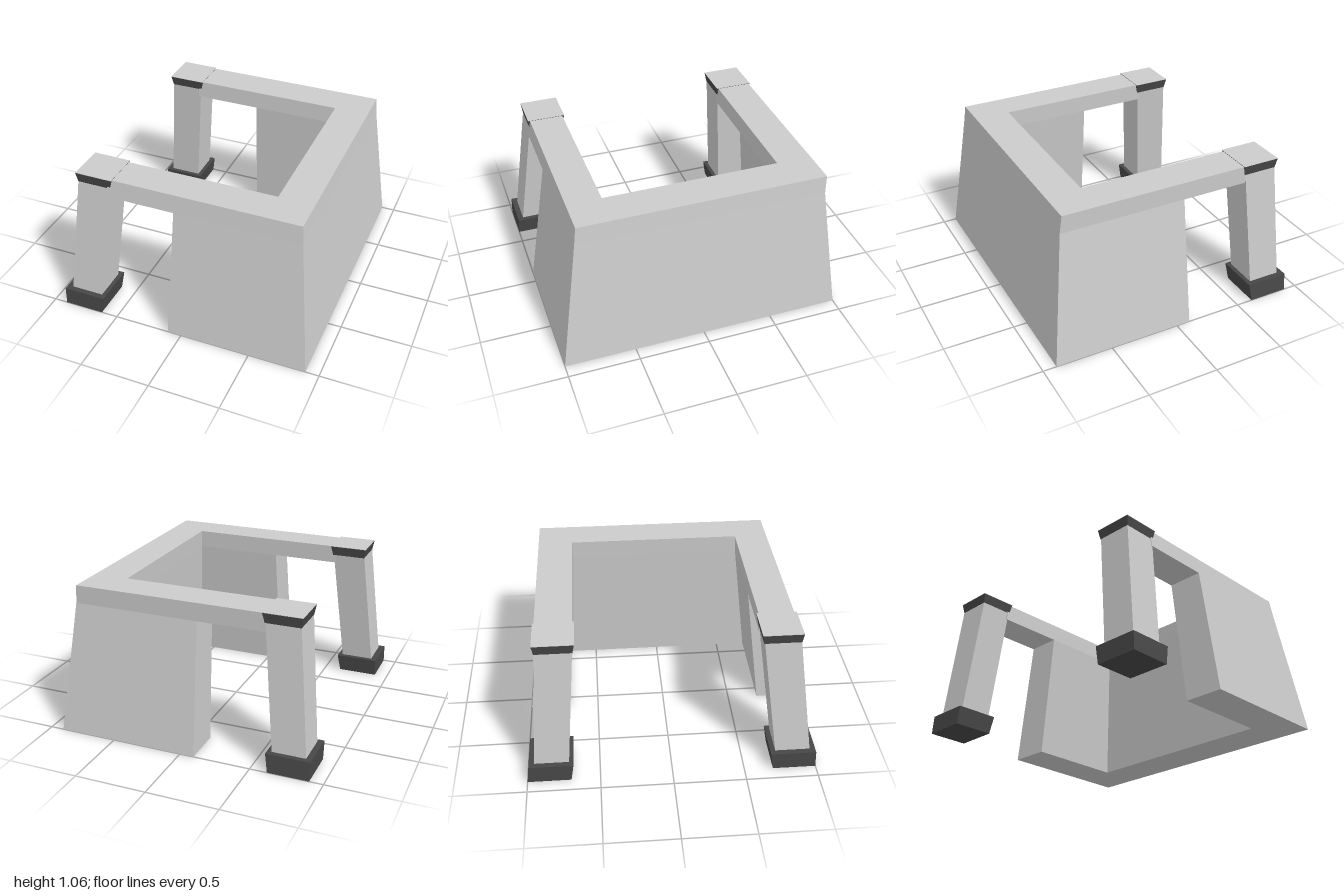
import * as THREE from 'three';

const grey = new THREE.MeshStandardMaterial({ color: 0xcccccc, flatShading: true });
const dark = new THREE.MeshStandardMaterial({ color: 0x474747, flatShading: true });

// Closed solid through stacked outlines; each level is { y, pts: [[x, z], ...] }
function loft(name, material, levels) {
  const pos = [];
  const put = (level, i) => pos.push(level.pts[i][0], level.y, level.pts[i][1]);
  const n = levels[0].pts.length;
  for (let k = 0; k < levels.length - 1; k++) {
    const lo = levels[k], hi = levels[k + 1];
    for (let i = 0; i < n; i++) {
      const j = (i + 1) % n;
      put(lo, i); put(lo, j); put(hi, j);
      put(lo, i); put(hi, j); put(hi, i);
    }
  }
  const top = levels[levels.length - 1];
  const outline = top.pts.map(([x, z]) => new THREE.Vector2(x, -z));
  for (const [a, b, c] of THREE.ShapeUtils.triangulateShape(outline, [])) {
    put(top, a); put(top, b); put(top, c);
    put(levels[0], a); put(levels[0], c); put(levels[0], b);
  }
  const geo = new THREE.BufferGeometry();
  geo.setAttribute('position', new THREE.Float32BufferAttribute(pos, 3));
  geo.computeVertexNormals();
  const mesh = new THREE.Mesh(geo, material);
  mesh.name = name;
  return mesh;
}

// Rectangle at one height
const rect = (y, x0, x1, z0, z1) => ({ y, pts: [[x0, z1], [x1, z1], [x1, z0], [x0, z0]] });

// U-shaped outline, open toward -x
const uShape = (y, xEnd, xOut, xIn, zFront, zFrontIn, zBackIn, zBack) => ({
  y,
  pts: [[xEnd, zFront], [xOut, zFront], [xOut, zBack], [xEnd, zBack],
    [xEnd, zBackIn], [xIn, zBackIn], [xIn, zFrontIn], [xEnd, zFrontIn]],
});

// Leaning post with its foot and cap; z ranges are listed as [min, max]
function corner(name, z) {
  const g = new THREE.Group();
  g.name = name;
  g.add(loft('foot', dark, [
    rect(0, -0.905, -0.62, ...z.footLow), rect(0.128, -0.905, -0.6, ...z.footTop)]));
  g.add(loft('post', grey, [
    rect(0.12, -0.865, -0.632, ...z.postLow), rect(0.99, -0.79, -0.555, ...z.postTop)]));
  g.add(loft('cap', dark, [
    rect(0.987, -0.79, -0.55, ...z.capLow), rect(1.055, -0.802, -0.535, ...z.capTop)]));
  g.add(loft('capTop', grey, [
    rect(1.055, -0.802, -0.535, ...z.capTop), rect(1.058, -0.802, -0.535, ...z.capTop)]));
  return g;
}

export function createModel() {
  const model = new THREE.Group();
  model.name = 'walledShelter';

  // Sloping lower walls
  model.add(loft('wall', grey, [
    uShape(0, -0.1, 0.905, 0.61, 1, 0.72, -0.72, -1),
    uShape(0.925, -0.087, 0.8, 0.545, 0.855, 0.605, -0.635, -0.882)]));

  // Beam along the wall tops, reaching out to the posts
  model.add(loft('beam', grey, [
    uShape(0.925, -0.57, 0.8, 0.545, 0.855, 0.605, -0.635, -0.882),
    uShape(1.053, -0.57, 0.787, 0.538, 0.837, 0.597, -0.638, -0.888)]));

  model.add(corner('frontPost', {
    footLow: [0.7, 1], footTop: [0.68, 0.995],
    postLow: [0.715, 0.957], postTop: [0.6, 0.842],
    capLow: [0.595, 0.843], capTop: [0.582, 0.852],
  }));
  model.add(corner('backPost', {
    footLow: [-1, -0.7], footTop: [-0.985, -0.68],
    postLow: [-0.948, -0.71], postTop: [-0.885, -0.64],
    capLow: [-0.886, -0.638], capTop: [-0.897, -0.625],
  }));
  return model;
}
